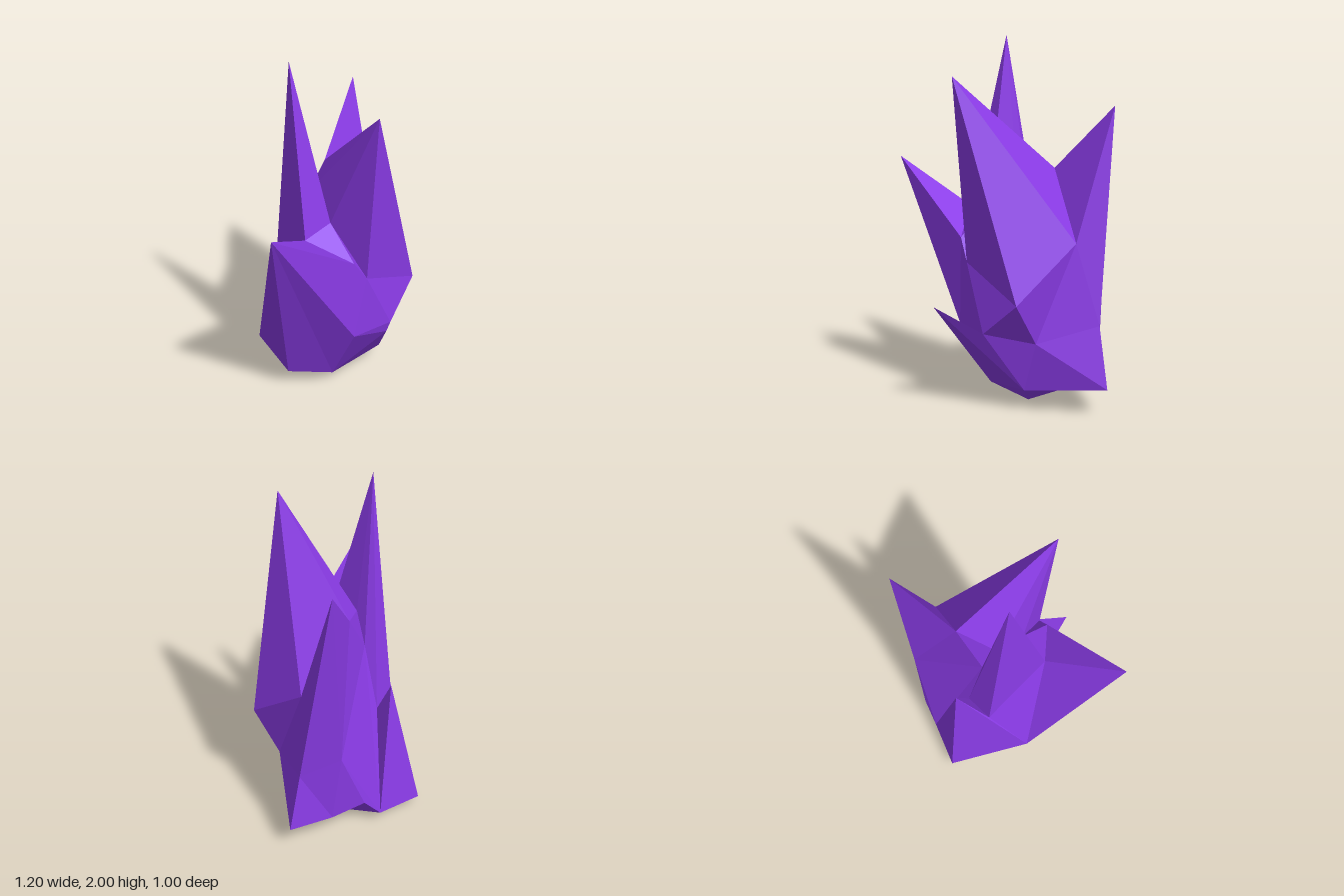
import * as THREE from 'three';

// Shared corners of the crystal cluster: spike tips, valleys between them, and the underside
const P = {
  // tips
  leanTip: [-0.6, 1.31, 0.37], tallTip: [-0.19, 2, -0.09], midTip: [0.04, 1.81, 0.38],
  sideTip: [0.42, 1.65, -0.39], frontTip: [0.03, 0.585, 0.5], spurTip: [0.6, 0.155, -0.24],
  rearTip: [-0.07, 0.85, -0.36],
  // front valley
  a: [0.42, 0.64, 0.22], b: [0.375, 0.4, 0.07], c: [0.29, 0.12, 0.09], d: [0.21, 0.45, 0.3],
  e: [-0.05, 0.07, 0.1], f: [-0.04, 0.45, 0.3], g: [0.04, 0.81, 0.3], h: [-0.04, 0.93, 0.29],
  // upper valley
  i: [-0.065, 1.1, 0.1], j: [0.11, 1.29, -0.215], k: [0.415, 0.93, -0.155], l: [0.52, 0.49, -0.24],
  m: [-0.24, 1.06, 0.12], n: [-0.08, 1.21, -0.09], o: [-0.06, 1.03, -0.17],
  // back valley
  p: [-0.41, 0.36, -0.11], q: [-0.215, 0.63, -0.24], r: [-0.06, 0.65, -0.27],
  s: [0.34, 0.58, -0.38], t: [0.2, 0.21, -0.425], u: [0.37, 0.16, -0.34],
  // underside
  v: [-0.29, 0.12, 0], w: [-0.18, 0.06, -0.5], x: [0.08, 0.065, -0.44],
  y: [0.19, 0.02, 0], z: [0.32, 0.095, -0.15], foot: [0.04, 0, -0.13],
};

const material = new THREE.MeshStandardMaterial({ color: 0x8a3be6, flatShading: true });

// Triangles fanned around one corner; a closed fan makes a complete spike
function fan(tip, ring, closed) {
  const out = [];
  const count = closed ? ring.length : ring.length - 1;
  for (let n = 0; n < count; n++) {
    out.push(...P[tip], ...P[ring[n]], ...P[ring[(n + 1) % ring.length]]);
  }
  return out;
}

function facets(name, positions) {
  const geometry = new THREE.BufferGeometry();
  geometry.setAttribute('position', new THREE.Float32BufferAttribute(positions, 3));
  geometry.computeVertexNormals();
  const mesh = new THREE.Mesh(geometry, material);
  mesh.name = name;
  return mesh;
}

export function createModel() {
  const group = new THREE.Group();
  group.name = 'crystalCluster';

  // Spikes: tip and the ring of corners round its foot, counter-clockwise
  const spikes = [
    ['leaningSpike', 'leanTip', 'vefhmp'],
    ['tallSpike', 'tallTip', 'minorq'],
    ['middleSpike', 'midTip', 'gakjni'],
    ['sideSpike', 'sideTip', 'klsj'],
    ['frontSpike', 'frontTip', 'ecdf'],
    ['lowSpur', 'spurTip', 'lbczu'],
    ['rearSpike', 'rearTip', 'wpqrx'],
    ['foot', 'foot', 'wxzyev'],
  ];
  for (const [name, tip, ring] of spikes) group.add(facets(name, fan(tip, ring, true)));

  // Valley facets that join the spikes
  const joins = {
    frontValley: ['ghfda', 'imhg', 'blkadc'],
    backValley: ['utsl', 'onjsxr', 'txs', 'pmq'],
    underside: ['pwv', 'zcy', 'zxtu', 'yce'],
  };
  for (const [name, fans] of Object.entries(joins)) {
    group.add(facets(name, fans.flatMap((f) => fan(f[0], f.slice(1), false))));
  }
  return group;
}
